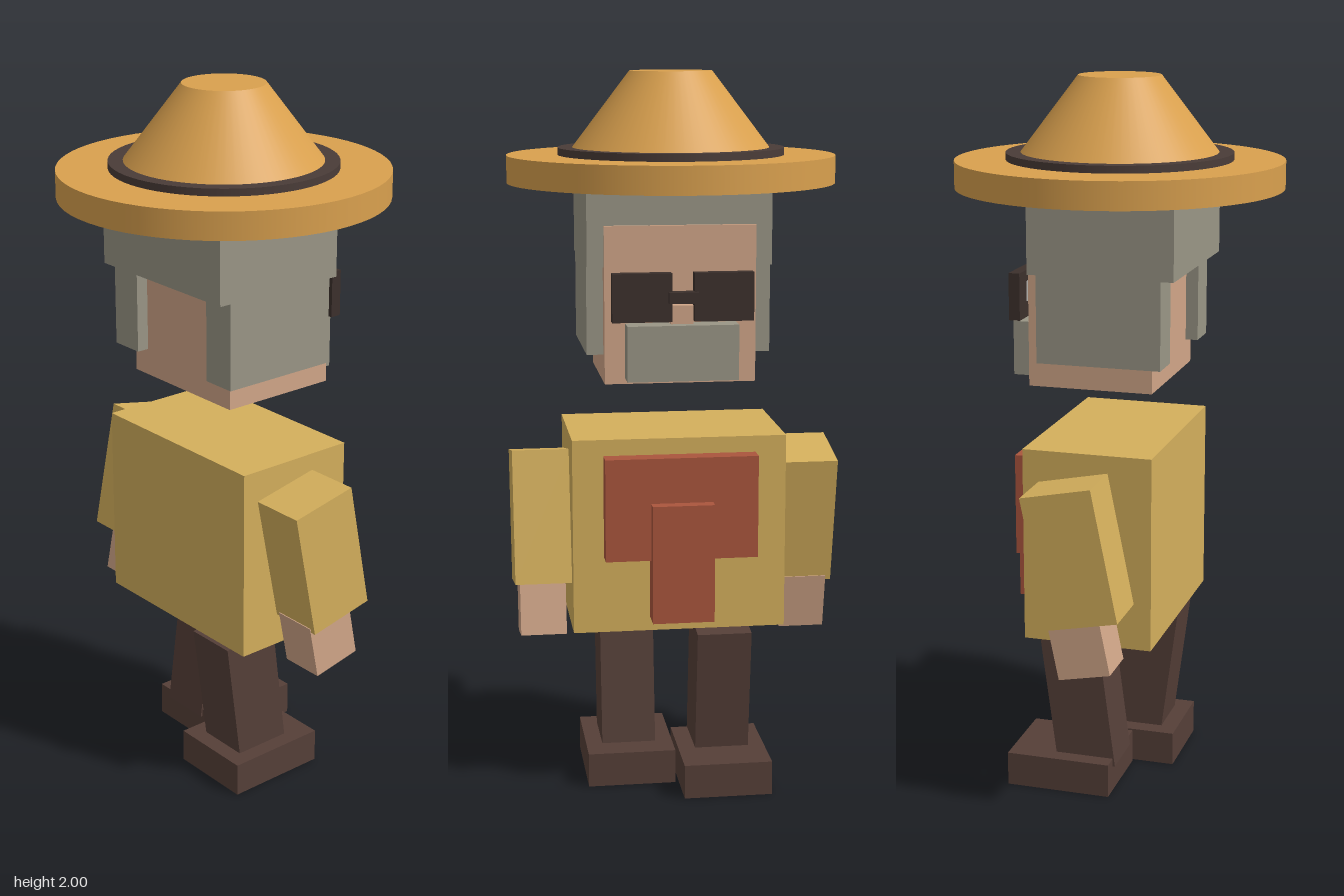
import * as THREE from 'three';

const COLORS = {
  straw: 0xd9a04e, band: 0x4a3c38, hair: 0x9a9686, skin: 0xd1a688, shirt: 0xd4af5c,
  trousers: 0x553f38, scarf: 0xaa553d, eye: 0xe8e4dc, glasses: 0x3c302c,
};

export function createModel() {
  const model = new THREE.Group();
  model.name = 'figure';

  const materials = {};
  for (const [key, color] of Object.entries(COLORS)) {
    materials[key] = new THREE.MeshStandardMaterial({ color });
  }

  function add(name, geometry, material, x, y, z) {
    const mesh = new THREE.Mesh(geometry, materials[material]);
    mesh.name = name;
    mesh.position.set(x, y, z);
    model.add(mesh);
    return mesh;
  }

  // Box given by its limits on each axis
  function box(name, material, [x0, x1], [y0, y1], [z0, z1]) {
    return add(name, new THREE.BoxGeometry(x1 - x0, y1 - y0, z1 - z0), material,
      (x0 + x1) / 2, (y0 + y1) / 2, (z0 + z1) / 2);
  }

  // Cylinder or cone section standing between two heights
  function disc(name, material, rTop, rBottom, y0, y1) {
    return add(name, new THREE.CylinderGeometry(rTop, rBottom, y1 - y0, 64), material,
      0, (y0 + y1) / 2, 0);
  }

  // Hat
  disc('hatBrim', 'straw', 0.45, 0.45, 1.70, 1.775);
  disc('hatBand', 'band', 0.31, 0.31, 1.775, 1.795);
  disc('hatCrown', 'straw', 0.113, 0.285, 1.775, 2.0);

  // Head and hair (the face looks towards -z)
  box('head', 'skin', [-0.205, 0.205], [1.175, 1.6], [-0.197, 0.15]);
  box('hairCap', 'hair', [-0.25, 0.25], [1.49, 1.7], [-0.185, 0.22]);
  box('moustache', 'hair', [-0.15, 0.15], [1.19, 1.34], [-0.26, -0.19]);
  box('nose', 'skin', [-0.03, 0.03], [1.34, 1.39], [-0.23, -0.19]);
  box('glassesBridge', 'glasses', [-0.04, 0.04], [1.4, 1.43], [-0.272, -0.235]);

  // Torso and scarf
  box('torso', 'shirt', [-0.295, 0.295], [0.475, 1.02], [-0.188, 0.175]);
  box('scarf', 'scarf', [-0.21, 0.21], [0.69, 0.975], [-0.24, -0.185]);
  box('scarfTail', 'scarf', [-0.085, 0.085], [0.52, 0.85], [-0.275, -0.205]);

  // Paired parts; the limbs swing opposite ways about the body's mid plane
  const mid = -0.008;
  for (const s of [1, -1]) {
    const side = s > 0 ? 'left' : 'right';
    const span = (a, b) => (s > 0 ? [a, b] : [-b, -a]);

    box(side + 'HairLock', 'hair', span(0.15, 0.25), [1.25, 1.5], [-0.16, 0.185]);
    box(side + 'Eye', 'eye', span(0.075, 0.135), [1.395, 1.45], [-0.226, -0.19]);
    box(side + 'Lens', 'glasses', span(0.03, 0.19), [1.35, 1.48], [-0.258, -0.227]);

    const arm = add(side + 'Arm', new THREE.BoxGeometry(0.16, 0.372, 0.2), 'shirt',
      s * 0.372, 0.769, mid);
    arm.rotation.x = s * 0.2;

    const hand = add(side + 'Hand', new THREE.BoxGeometry(0.128, 0.16, 0.147), 'skin',
      s * 0.373, 0.515, mid - s * 0.022);
    hand.rotation.x = s * 0.2;

    const leg = add(side + 'Leg', new THREE.BoxGeometry(0.153, 0.4, 0.17), 'trousers',
      s * 0.13, 0.262, mid + s * 0.056);
    leg.rotation.x = s * 0.13;

    const heel = s > 0 ? 0.16 : 0.04;
    box(side + 'Shoe', 'trousers', span(0.005, 0.253), [0, 0.097], [heel - 0.3, heel]);
  }

  return model;
}
